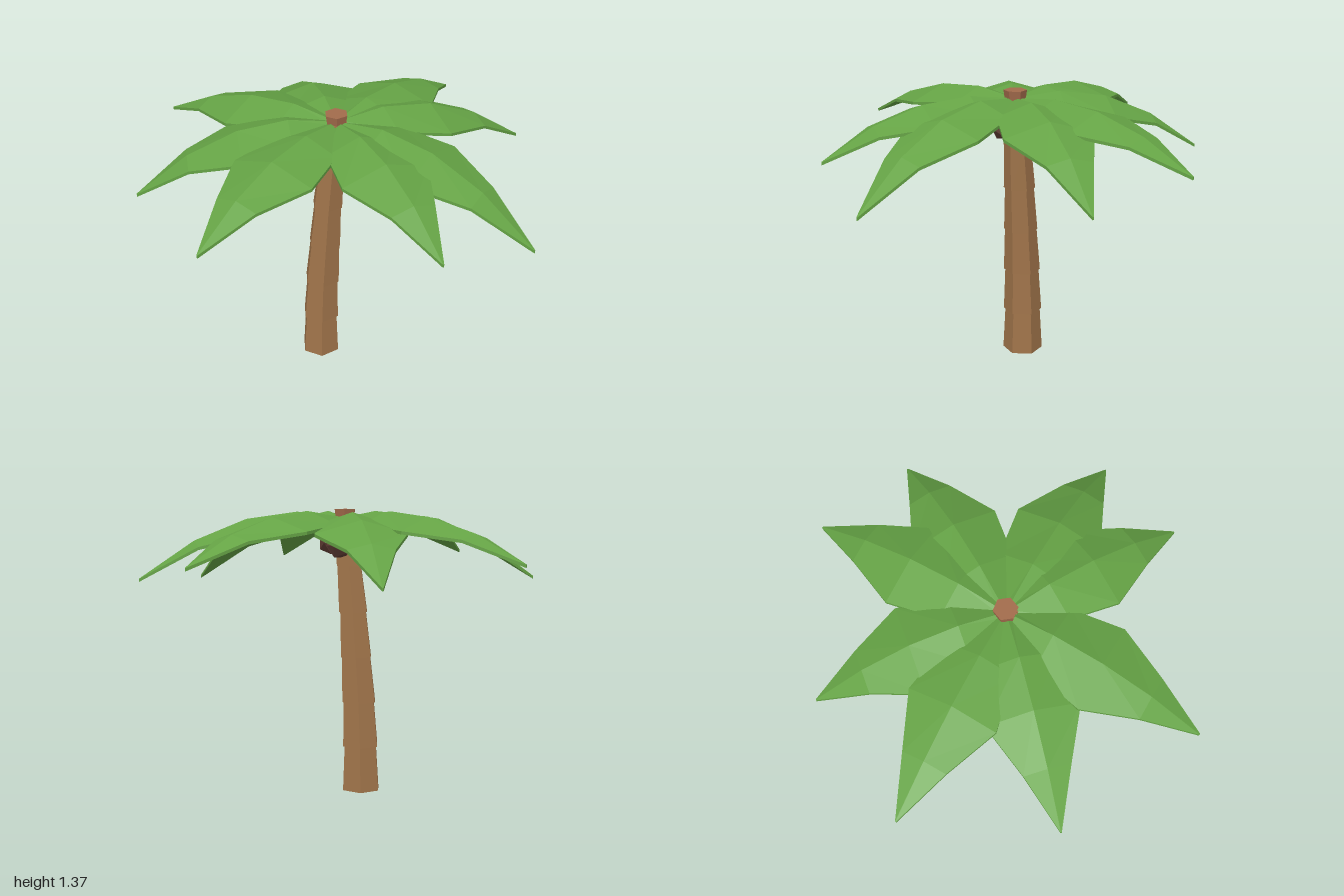
import * as THREE from 'three';

const material = (name, color) => Object.assign(new THREE.MeshStandardMaterial({ color }), { name });

// Faceted normals
function faceted(geometry) {
  const g = geometry.index ? geometry.toNonIndexed() : geometry;
  g.computeVertexNormals();
  return g;
}

// Six-sided cylinder, sheared so its ends centre on two points [x, y, z]
function leaningHex(rBottom, rTop, from, to) {
  const g = new THREE.CylinderGeometry(rTop, rBottom, 1, 6, 1, false, Math.PI / 6);
  const p = g.attributes.position;
  for (let i = 0; i < p.count; i++) {
    const t = p.getY(i) + 0.5;
    const c = from.map((v, k) => v + (to[k] - v) * t);
    p.setXYZ(i, p.getX(i) + c[0], c[1], p.getZ(i) + c[2]);
  }
  return faceted(g);
}

// Arched, folded leaf running along +x: [position, half width, fold depth]
const STATIONS = [[0.02, 0.02, 0.01], [0.24, 0.165, 0.055], [0.49, 0.21, 0.06], [0.74, 0.105, 0.025], [1, 0.003, 0]];

function frondGeometry(length, tipY) {
  const baseY = 1.33, thick = 0.014;
  const drop = baseY - tipY;
  const rise = (0.03 + 0.0625 * drop) / 0.1875;
  const points = [], index = [];
  for (const [t, w, fold] of STATIONS) {
    const x = t * length, y = baseY + rise * t - (rise + drop) * t * t;
    points.push(x, y - fold, -w, x, y, 0, x, y - fold, w);
    points.push(x, y - fold - thick, w, x, y - thick, 0, x, y - fold - thick, -w);
  }
  const quad = (a, b, c, d) => index.push(a, b, c, a, c, d);
  const last = (STATIONS.length - 1) * 6;
  for (let i = 0; i < last; i += 6) {
    for (let j = 0; j < 6; j++) {
      const k = (j + 1) % 6;
      quad(i + j, i + k, i + 6 + k, i + 6 + j);
    }
  }
  quad(last, last + 1, last + 4, last + 5);
  quad(last + 1, last + 2, last + 3, last + 4);
  quad(5, 4, 1, 0);
  quad(4, 3, 2, 1);
  const g = new THREE.BufferGeometry();
  g.setAttribute('position', new THREE.Float32BufferAttribute(points, 3));
  g.setIndex(index);
  return faceted(g);
}

export function createModel() {
  const bark = material('bark brown', 0xa0744a);
  const budBrown = material('crown brown', 0xa26b4b);
  const leaf = material('leaf green', 0x65a345);
  const husk = material('husk brown', 0x633f36);

  const model = new THREE.Group();
  model.name = 'palmTree';
  const add = (parent, name, geometry, mat) => {
    const mesh = new THREE.Mesh(geometry, mat);
    mesh.name = name;
    parent.add(mesh);
    return mesh;
  };
  const group = (name) => {
    const g = new THREE.Group();
    g.name = name;
    model.add(g);
    return g;
  };

  // Curved trunk of stacked segments, each overhanging the one below
  const trunk = group('trunk');
  const centres = [[-0.11, 0, 0.01], [-0.107, 0.22, 0.009], [-0.098, 0.44, 0.008], [-0.083, 0.66, 0.006],
    [-0.067, 0.88, 0.004], [-0.046, 1.1, 0.002], [-0.022, 1.33, 0]];
  const radii = [0.1, 0.096, 0.091, 0.083, 0.077, 0.068];
  radii.forEach((r, i) => {
    add(trunk, 'trunkSegment' + (i + 1), leaningHex(r, r - 0.012, centres[i], centres[i + 1]), bark);
  });

  // Crown cap
  add(model, 'crownCap', leaningHex(0.045, 0.056, [-0.022, 1.3, 0], [-0.022, 1.372, 0]), budBrown);

  // Fronds, by tip position
  const fronds = group('fronds');
  const tips = [[0.14, 1.14, -0.98], [0.61, 1.06, -0.76], [0.99, 1.005, 0.13], [0.73, 1.115, 0.55],
    [-0.17, 1.14, 0.96], [-0.77, 1.045, 0.55], [-1, 1.145, -0.11], [-0.62, 1.07, -0.67]];
  tips.forEach(([x, y, z], i) => {
    const dx = x + 0.02;
    const frond = add(fronds, 'frond' + (i + 1), frondGeometry(Math.hypot(dx, z), y), leaf);
    frond.position.x = -0.02;
    frond.rotation.y = Math.atan2(-z, dx);
  });

  // Nuts beneath the crown
  const nuts = group('nuts');
  [[-0.08, 1.2, 0.04], [0.06, 1.21, 0.01], [-0.035, 1.2, -0.06]].forEach(([x, y, z], i) => {
    const nut = add(nuts, 'nut' + (i + 1), faceted(new THREE.IcosahedronGeometry(0.067, 0)), husk);
    nut.position.set(x, y, z);
    nut.rotation.y = i * 2.1;
  });

  return model;
}
